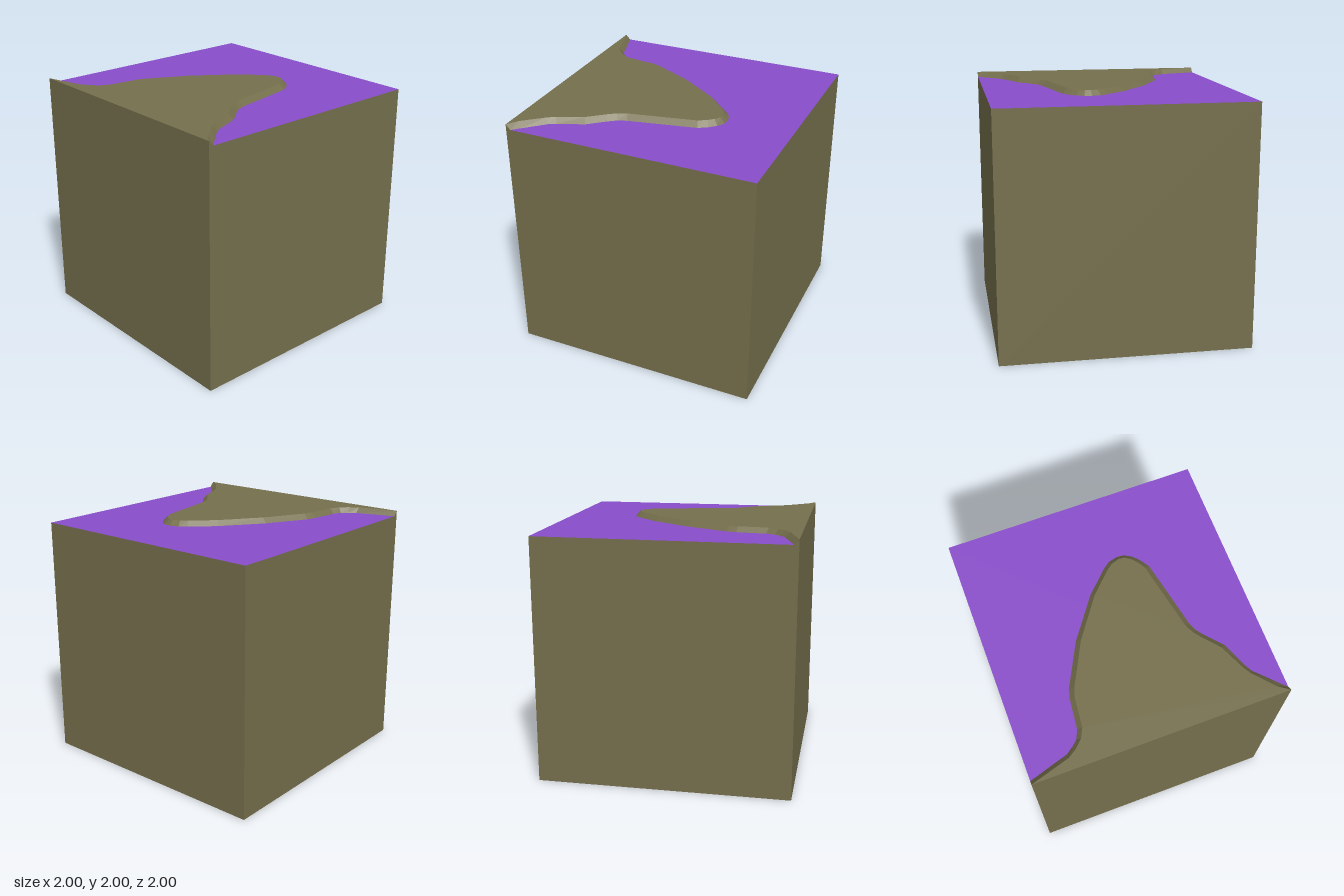
import * as THREE from 'three';

const BASE = 1.96, TOP = 2;

// Edge of the raised ground as [x, z], from the back to the front
const FOOT = [[-1, -1], [-0.963, -1], [-0.87, -0.69], [-0.83, -0.635], [-0.79, -0.59], [-0.72, -0.56],
  [-0.487, -0.533], [-0.41, -0.512], [-0.08, -0.34], [0.235, -0.11], [0.406, 0.062], [0.45, 0.12],
  [0.468, 0.19], [0.463, 0.25], [0.428, 0.308], [0.374, 0.357], [0.305, 0.4], [-0.235, 0.507],
  [-0.305, 0.533], [-0.364, 0.576], [-0.497, 0.69], [-0.7, 0.77], [-0.754, 0.8], [-0.91, 0.948],
  [-0.963, 1], [-1, 1]];
const RIM = [[-1, -1], [-0.91, -0.69], [-0.866, -0.62], [-0.807, -0.56], [-0.733, -0.523],
  [-0.497, -0.496], [-0.428, -0.475], [-0.096, -0.303], [0.209, -0.083], [0.374, 0.083], [0.412, 0.137],
  [0.43, 0.196], [0.425, 0.239], [0.396, 0.282], [0.353, 0.319], [0.289, 0.357], [-0.25, 0.464],
  [-0.326, 0.496], [-0.385, 0.539], [-0.519, 0.652], [-0.717, 0.737], [-0.78, 0.775], [-0.941, 0.914],
  [-1, 1]];

// Walls between the foot and the rim, closed along the left side
function bankGeometry() {
  const rim = [RIM[0], ...RIM, RIM[RIM.length - 1]];
  const n = FOOT.length, pos = [];
  const low = i => [FOOT[i][0], BASE, FOOT[i][1]];
  const high = i => [rim[i][0], TOP, rim[i][1]];
  for (let i = 0; i < n; i++) {
    const j = (i + 1) % n;
    pos.push(...low(i), ...high(i), ...low(j));
    if (high(i).join() !== high(j).join()) pos.push(...high(i), ...high(j), ...low(j));
  }
  const geo = new THREE.BufferGeometry();
  geo.setAttribute('position', new THREE.Float32BufferAttribute(pos, 3));
  geo.computeVertexNormals();
  return geo;
}

export function createModel() {
  const group = new THREE.Group();
  const earth = new THREE.MeshStandardMaterial({ name: 'olive earth', color: 0x756f4c });
  const purple = new THREE.MeshStandardMaterial({ name: 'purple ground', color: 0x894dcb });
  const add = (name, geo, mat) => {
    const mesh = new THREE.Mesh(geo, mat);
    mesh.name = name;
    group.add(mesh);
    return mesh;
  };

  // Block with a purple top face
  add('block', new THREE.BoxGeometry(2, BASE, 2), [earth, earth, purple, earth, earth, earth])
    .position.y = BASE / 2;

  // Raised ground: sloping bank and flat top
  add('bank', bankGeometry(), earth);
  const shape = new THREE.Shape(RIM.map(([x, z]) => new THREE.Vector2(x, -z)));
  add('plateau', new THREE.ShapeGeometry(shape).rotateX(-Math.PI / 2), earth).position.y = TOP;

  return group;
}
